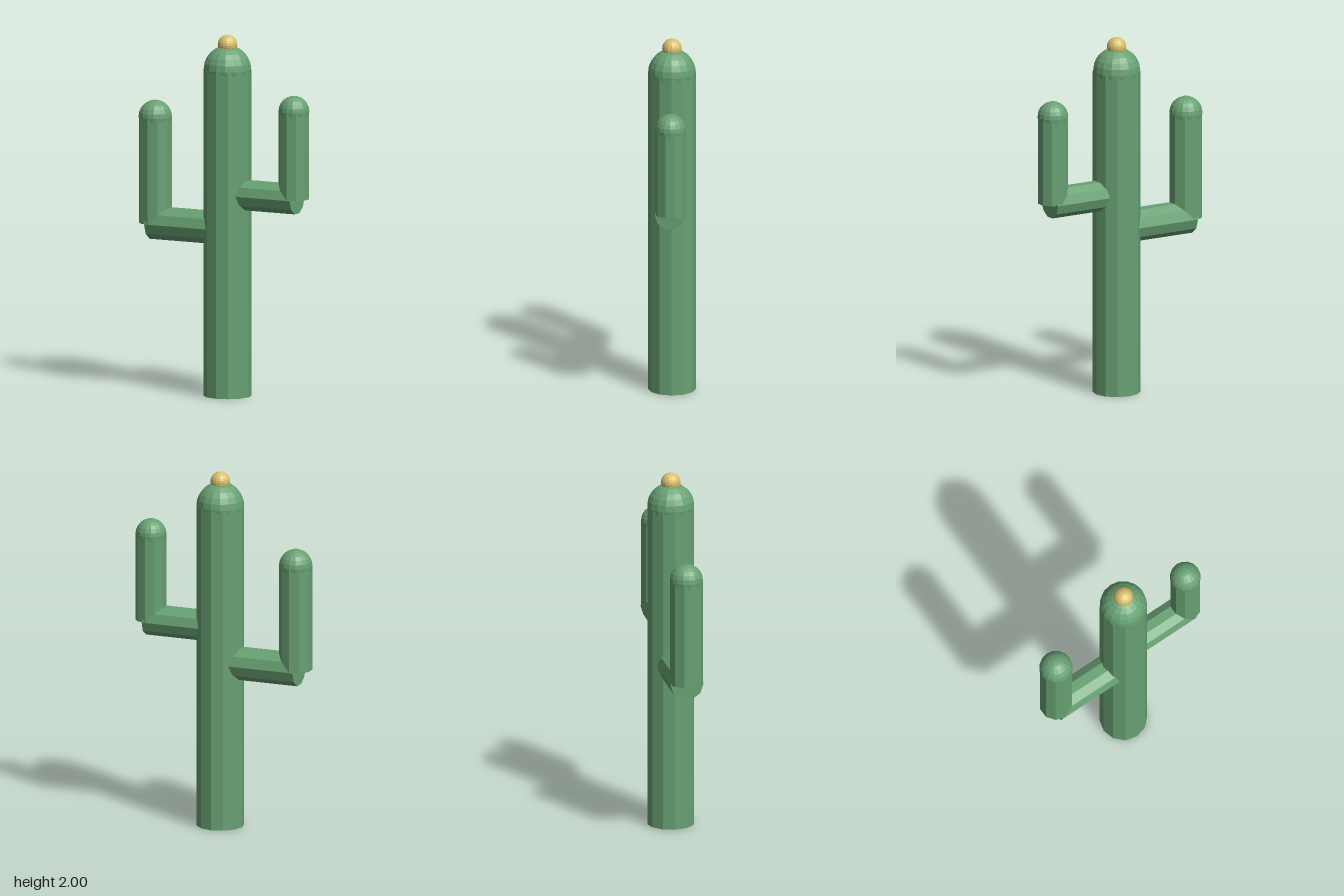
import * as THREE from 'three';

export function createModel() {
  const green = new THREE.MeshStandardMaterial({ color: 0x68a173 });
  green.name = 'cactus green';
  green.flatShading = true;
  const yellow = new THREE.MeshStandardMaterial({ color: 0xd9c06c });
  yellow.name = 'flower yellow';
  yellow.flatShading = true;

  const model = new THREE.Group();
  model.name = 'cactus';

  const add = (parent, name, geometry, material, x, y) => {
    const mesh = new THREE.Mesh(geometry, material);
    mesh.name = name;
    mesh.position.set(x, y, 0);
    parent.add(mesh);
    return mesh;
  };

  // upright stem with a rounded top
  const stem = (parent, name, x, r, y0, y1, sides) => {
    add(parent, name, new THREE.CylinderGeometry(r, r, y1 - y0, sides), green, x, (y0 + y1) / 2);
    add(parent, name + 'Dome', new THREE.SphereGeometry(r, 16, 12), green, x, y1);
  };

  // arm: level branch out of the trunk, then an upright stem
  const arm = (name, x0, x1, xStem, r, y0, y1) => {
    const group = new THREE.Group();
    group.name = name;
    const branch = new THREE.CylinderGeometry(r, r, Math.abs(x1 - x0), 10).rotateZ(Math.PI / 2);
    add(group, 'branch', branch, green, (x0 + x1) / 2, y0);
    stem(group, 'upright', xStem, r, y0, y1, 10);
    model.add(group);
  };

  stem(model, 'trunk', 0.02, 0.131, 0, 1.81, 12);
  arm('rightArm', 0.0, -0.45, -0.43, 0.092, 0.927, 1.515);
  arm('leftArm', 0.04, 0.453, 0.434, 0.085, 1.12, 1.606);

  // flower bud on top
  add(model, 'flower', new THREE.SphereGeometry(0.054, 16, 12), yellow, 0.02, 1.946);

  return model;
}
